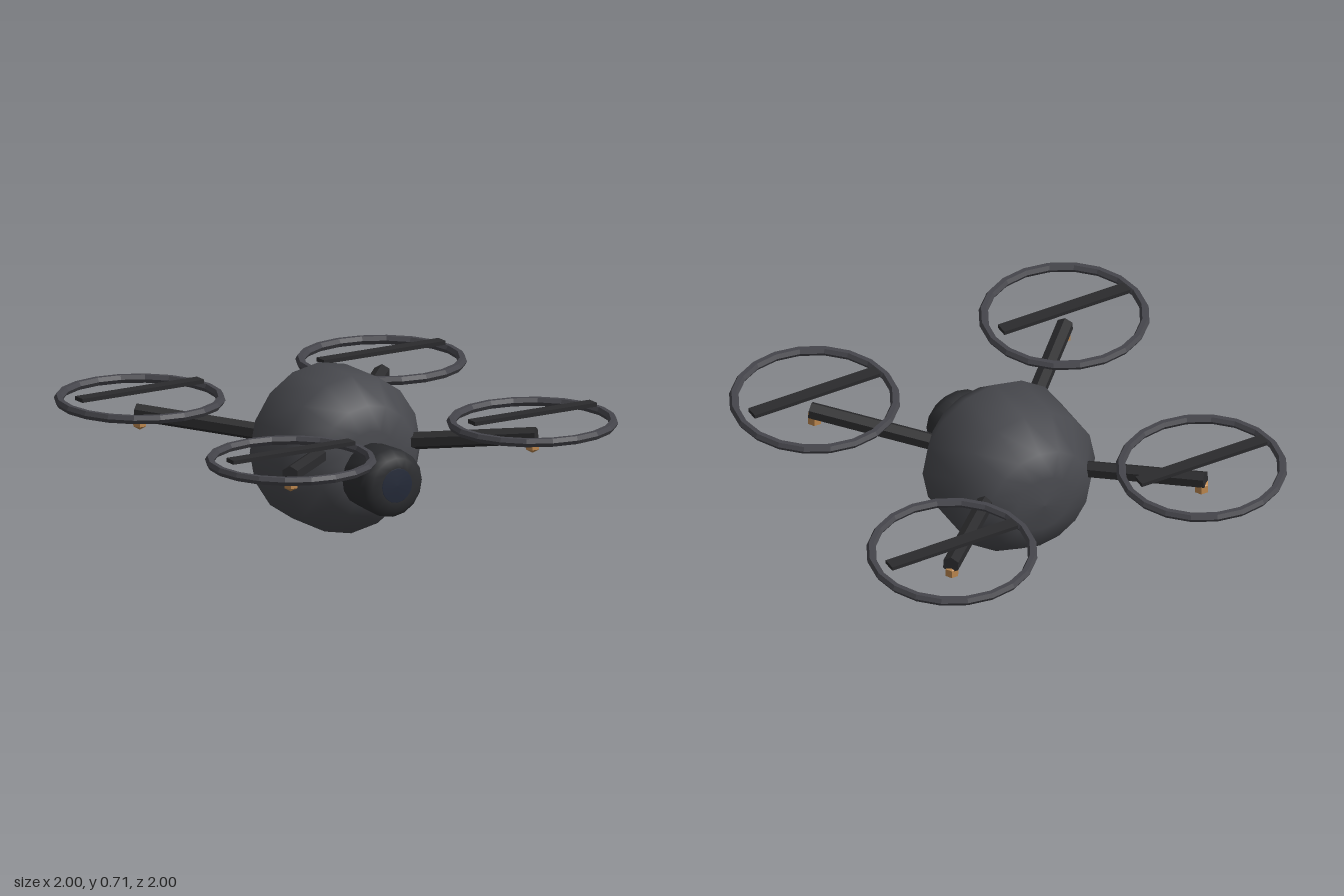
import * as THREE from 'three';

const paint = (color, flatShading = false) => new THREE.MeshStandardMaterial({ color, flatShading });

const shellMat = paint(0x48494e);
const ringMat = paint(0x45454b, true);
const darkMat = paint(0x2b2b2d, true);
const cameraMat = paint(0x2d2e31);
const lensMat = paint(0x252b3a);
const footMat = paint(0xc08a50, true);

function addMesh(parent, name, geometry, material, x = 0, y = 0, z = 0) {
  const mesh = new THREE.Mesh(geometry, material);
  mesh.name = name;
  mesh.position.set(x, y, z);
  parent.add(mesh);
  return mesh;
}

// Turned solid around the z axis; the profile is [radius, z] from back to front
function turned(profile, sides) {
  const points = profile.map(([r, z]) => new THREE.Vector2(r, z));
  return new THREE.LatheGeometry(points, sides).rotateX(Math.PI / 2);
}

export function createModel() {
  const drone = new THREE.Group();
  drone.name = 'drone';

  // Rounded body, a little flatter at the front
  const bodyProfile = [[0, -0.335], [0.135, -0.322], [0.25, -0.288], [0.357, -0.14], [0.357, 0.125], [0.25, 0.262], [0.14, 0.288], [0, 0.295]];
  addMesh(drone, 'body', turned(bodyProfile, 16), shellMat, 0, 0.357, 0);

  // Camera barrel with a bevelled rim, and its lens
  const barrelProfile = [[0, 0.22], [0.142, 0.22], [0.153, 0.44], [0.148, 0.47], [0.122, 0.496], [0.08, 0.503], [0, 0.505]];
  addMesh(drone, 'camera', turned(barrelProfile, 16), cameraMat, 0, 0.3, 0);
  addMesh(drone, 'lens', turned([[0.08, 0.5], [0.075, 0.506], [0, 0.509]], 16), lensMat, 0, 0.3, 0);

  // Shared rotor parts
  const start = new THREE.Vector3(0.17, 0.4, 0.17);
  const end = new THREE.Vector3(0.635, 0.467, 0.635);
  const armGeo = new THREE.CylinderGeometry(0.039, 0.039, start.distanceTo(end), 6).rotateX(Math.PI / 2);
  const footGeo = new THREE.SphereGeometry(0.037, 6, 3);
  const ringGeo = new THREE.TorusGeometry(0.355, 0.021, 6, 20).rotateX(Math.PI / 2);
  const bladeGeo = new THREE.BoxGeometry(0.627, 0.018, 0.06);

  for (const sx of [1, -1]) {
    for (const sz of [1, -1]) {
      const rotor = new THREE.Group();
      rotor.name = `${sz > 0 ? 'front' : 'back'}${sx > 0 ? 'Left' : 'Right'}Rotor`;
      drone.add(rotor);
      const x = 0.622 * sx;
      const z = 0.622 * sz;

      // Hexagonal arm rising outward from the body
      const middle = start.clone().lerp(end, 0.5);
      const arm = addMesh(rotor, 'arm', armGeo, darkMat, middle.x * sx, middle.y, middle.z * sz);
      arm.lookAt(end.x * sx, end.y, end.z * sz);

      addMesh(rotor, 'foot', footGeo, footMat, x, 0.425, z);
      addMesh(rotor, 'guardRing', ringGeo, ringMat, x, 0.527, z);
      addMesh(rotor, 'blade', bladeGeo, darkMat, x, 0.568, z);
    }
  }
  return drone;
}
